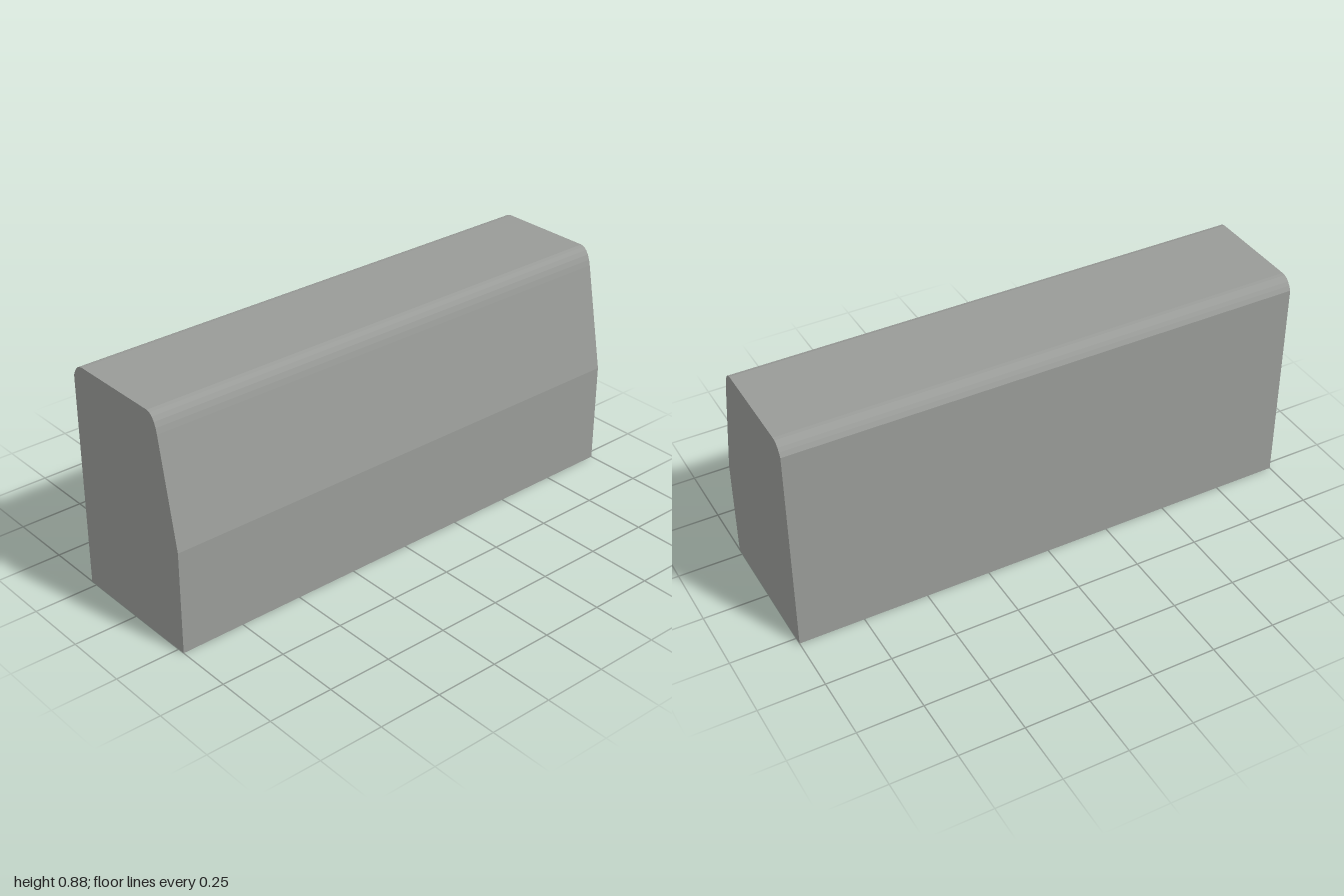
import * as THREE from 'three';

export function createModel() {
  const group = new THREE.Group();
  group.name = 'barrierBlock';

  const concrete = new THREE.MeshStandardMaterial({ color: 0x999b98 });
  concrete.name = 'concrete grey';

  // Side profile (z across, y up): sloped front, rounded top edges
  const profile = new THREE.Shape();
  profile.moveTo(-0.279, 0);
  profile.lineTo(0.279, 0);
  profile.lineTo(0.279, 0.4);
  profile.lineTo(0.2, 0.81);
  profile.bezierCurveTo(0.193, 0.848, 0.175, 0.88, 0.15, 0.88);
  profile.lineTo(-0.225, 0.88);
  profile.bezierCurveTo(-0.25, 0.88, -0.265, 0.865, -0.279, 0.834);
  profile.closePath();

  // Extrude along the length, then turn the length onto x
  const geometry = new THREE.ExtrudeGeometry(profile, { depth: 2, bevelEnabled: false, curveSegments: 5 });
  geometry.translate(0, 0, -1);
  geometry.rotateY(-Math.PI / 2);

  const block = new THREE.Mesh(geometry, concrete);
  block.name = 'block';
  group.add(block);
  return group;
}
